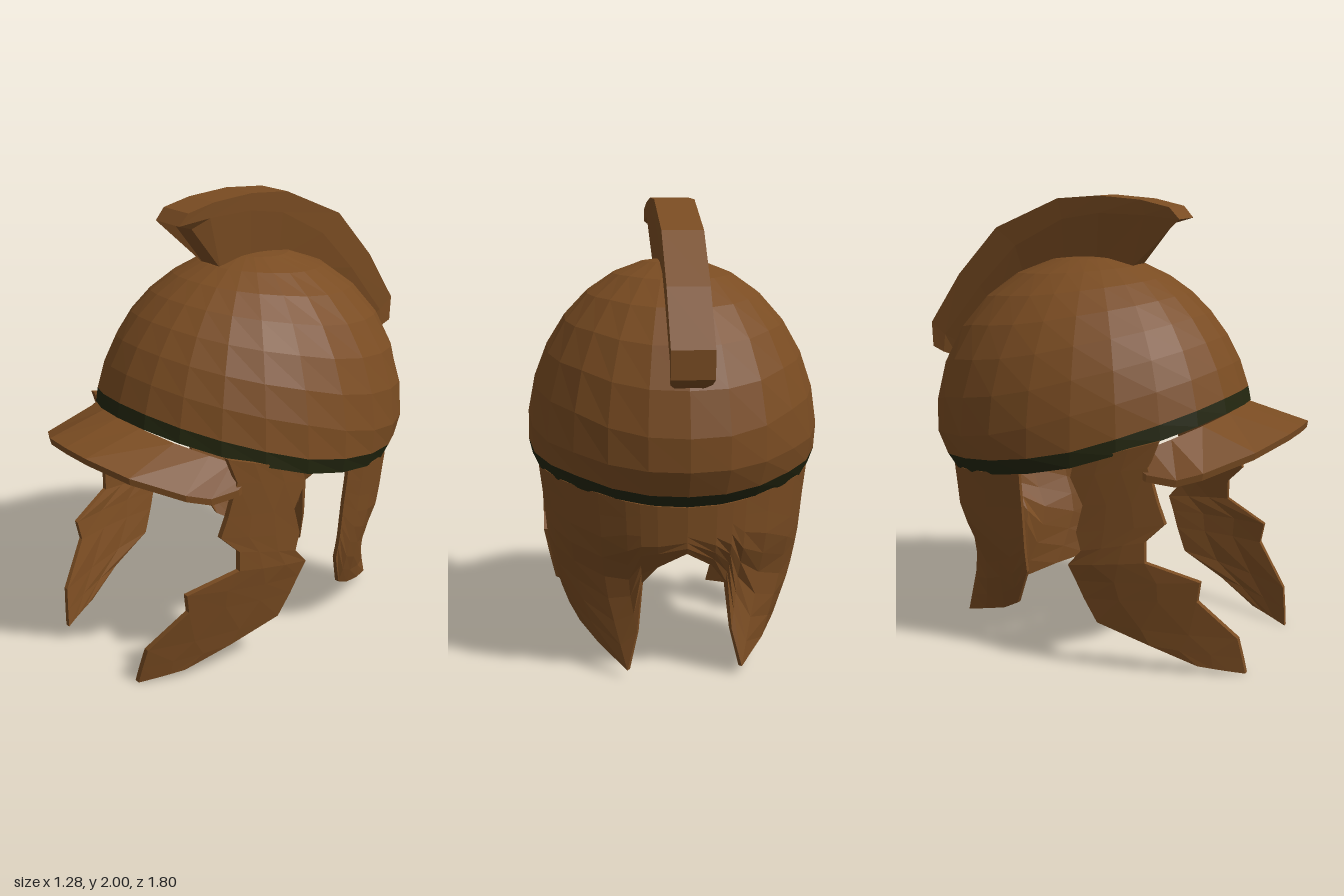
import * as THREE from 'three';

const bronze = new THREE.MeshStandardMaterial({ color: 0x7a4c22, side: THREE.DoubleSide });
bronze.name = 'bronze';
const darkGreen = new THREE.MeshStandardMaterial({ color: 0x23260f, side: THREE.DoubleSide });
darkGreen.name = 'dark green';

// Piecewise linear lookup in a table of [key, value] with rising keys
function lookup(table, k) {
  if (k <= table[0][0]) return table[0][1];
  for (let i = 1; i < table.length; i++) {
    const [k0, v0] = table[i - 1], [k1, v1] = table[i];
    if (k <= k1) return v0 + (v1 - v0) * (k - k0) / (k1 - k0);
  }
  return table[table.length - 1][1];
}

// Faceted surface through closed loops of points; solid ones get end caps
function loft(name, loops, material, { solid = true, flip = false } = {}) {
  const pos = [], n = loops[0].length;
  const tri = (a, b, c) => pos.push(...a, ...(flip ? c : b), ...(flip ? b : c));
  const quad = (a, b, c, d) => { tri(a, b, c); tri(a, c, d); };
  for (let r = 0; r + 1 < loops.length; r++)
    for (let c = 0; c < n; c++) {
      const d = (c + 1) % n;
      quad(loops[r][c], loops[r + 1][c], loops[r + 1][d], loops[r][d]);
    }
  if (solid) {
    const A = loops[0], B = loops[loops.length - 1];
    for (let i = 0; i < n / 2 - 1; i++) {
      quad(A[i], A[i + 1], A[n - 2 - i], A[n - 1 - i]);
      quad(B[n - 1 - i], B[n - 2 - i], B[i + 1], B[i]);
    }
  }
  const geo = new THREE.BufferGeometry();
  geo.setAttribute('position', new THREE.Float32BufferAttribute(pos, 3));
  geo.computeVertexNormals();
  const mesh = new THREE.Mesh(geo, material);
  mesh.name = name;
  return mesh;
}

// Height of the bowl's lower edge, falling from front to back
const RIM = [[-0.76, 0.73], [-0.6, 0.79], [-0.18, 0.85], [0.13, 0.92], [0.5, 1.05], [0.65, 1.115]];
const rim = z => lookup(RIM, z);

// Point on the bowl: angle round from the front, and elevation
function bowlPoint(t, p) {
  const ry = p > 0 ? 0.76 : 0.45;
  return [0.642 * Math.cos(p) * Math.sin(t), 0.98 + ry * Math.sin(p), -0.09 + 0.742 * Math.cos(p) * Math.cos(t)];
}
// Elevation at which the bowl meets the rim, raised by lift
function rimElevation(t, lift) {
  let p = 0;
  for (let i = 0; i < 25; i++) {
    const y = rim(bowlPoint(t, p)[2]) + lift - 0.98;
    p = Math.asin(y / (y > 0 ? 0.76 : 0.45));
  }
  return p;
}

function bowlStrip(name, rows, material, from, to) {
  const n = 24, loops = [];
  for (let r = 0; r <= rows; r++) {
    const loop = [];
    for (let c = 0; c < n; c++) {
      const t = c / n * Math.PI * 2;
      loop.push(bowlPoint(t, THREE.MathUtils.lerp(from(t), to(t), r / rows)));
    }
    loops.push(loop);
  }
  return loft(name, loops, material, { solid: false });
}

// Neck guard: curved sheet with a notch at the centre of the back
function neckGuard() {
  const angles = [0, 12, 19, 25, 37, 55, 70, 80, 90];
  const bottoms = [0.55, 0.48, 0.4, 0.2, 0.04, 0.11, 0.165, 0.22, 0.4];
  const halfWidth = [[0.04, 0.4], [0.2, 0.47], [0.35, 0.53], [0.5, 0.56], [0.7, 0.58], [0.85, 0.6]];
  const depth = [[0.04, 0.61], [0.2, 0.52], [0.38, 0.465], [0.45, 0.49], [0.57, 0.57], [0.8, 0.59]];
  const cols = [];
  for (let i = 8; i > -9; i--) {
    const k = Math.abs(i);
    cols.push([Math.sign(i) * angles[k] * Math.PI / 180, bottoms[k]]);
  }
  const loops = [], rows = 8;
  for (let r = 0; r <= rows; r++) {
    const side = inset => cols.map(([a, low]) => {
      const top = rim(-0.15 - 0.59 * Math.cos(a)) + 0.01;
      const y = THREE.MathUtils.lerp(top, low, r / rows);
      return [(lookup(halfWidth, y) - inset) * Math.sin(a), y, -0.15 - (lookup(depth, y) - inset) * Math.cos(a)];
    });
    loops.push([...side(0), ...side(0.02).reverse()]);
  }
  return loft('neckGuard', loops, bronze);
}

// Cheek guard: scalloped plate, rows of [back z, back y, front z, front y]
function cheekGuard(name, s) {
  const rows = [
    [0.1, 0.93, 0.45, 1.04], [0.085, 0.865, 0.41, 0.93], [0.14, 0.75, 0.45, 0.78],
    [0.11, 0.63, 0.48, 0.69], [0.13, 0.55, 0.4, 0.61], [0.07, 0.48, 0.4, 0.52],
    [0.1, 0.41, 0.615, 0.44], [0.13, 0.33, 0.6, 0.35], [0.18, 0.22, 0.75, 0.175],
    [0.4, 0.13, 0.765, 0.08], [0.59, 0.04, 0.775, 0.005]];
  const loops = rows.map(([zb, yb, zf, yf]) => {
    const side = inset => [0, 0.33, 0.67, 1].map(k => {
      const z = THREE.MathUtils.lerp(zf, zb, k), y = THREE.MathUtils.lerp(yf, yb, k);
      return [s * (0.585 - 0.33 * z * z - 0.17 * Math.max(0, 0.5 - y) - inset), y, z];
    });
    return [...side(0), ...side(0.025).reverse()];
  });
  return loft(name, loops, bronze, { flip: s < 0 });
}

// Visor: sloping brow plate, stations of inner and outer edge points
function visor() {
  const half = [
    [[0, 1.11, 0.635], [0, 1.04, 0.9]],
    [[0.14, 1.1, 0.62], [0.14, 1.035, 0.89]],
    [[0.3, 1.07, 0.56], [0.32, 0.985, 0.8]],
    [[0.42, 1.03, 0.47], [0.47, 0.915, 0.63]],
    [[0.48, 1.0, 0.4], [0.51, 0.885, 0.53]],
    [[0.53, 0.965, 0.3], [0.535, 0.9, 0.41]]];
  const stations = [];
  for (let i = 5; i > -6; i--)
    stations.push(half[Math.abs(i)].map(([x, y, z]) => [i > 0 ? -x : x, y, z]));
  const lower = ([x, y, z]) => [x, y - 0.03, z - 0.005];
  return loft('visor', stations.map(([a, b]) => [a, lower(a), lower(b), b]), bronze);
}

// Crest: arched fin, stations of [z, y] for top, shoulder and foot
function crest() {
  const stations = [
    [[0.315, 1.955], [0.36, 1.905], [0.28, 1.88]],
    [[0.18, 1.985], [0.2, 1.92], [0.13, 1.69]],
    [[-0.02, 2], [-0.02, 1.925], [-0.04, 1.7]],
    [[-0.22, 1.985], [-0.2, 1.895], [-0.2, 1.69]],
    [[-0.535, 1.85], [-0.44, 1.77], [-0.4, 1.61]],
    [[-0.74, 1.63], [-0.63, 1.58], [-0.57, 1.48]],
    [[-0.9, 1.395], [-0.83, 1.34], [-0.74, 1.29]],
    [[-0.895, 1.28], [-0.84, 1.255], [-0.78, 1.235]]];
  const widths = [0.087, 0.083, 0.06];
  return loft('crest', stations.map(st => [
    ...st.map(([z, y], i) => [-widths[i], y, z]),
    ...st.map(([z, y], i) => [widths[i], y, z]).reverse()]), bronze);
}

export function createModel() {
  const helmet = new THREE.Group();
  helmet.name = 'helmet';
  const bandTop = t => rimElevation(t, 0.068), bandBottom = t => rimElevation(t, 0);
  helmet.add(
    bowlStrip('bowl', 8, bronze, () => Math.PI / 2 - 0.001, bandTop),
    bowlStrip('rimBand', 1, darkGreen, bandTop, bandBottom),
    neckGuard(),
    visor(),
    cheekGuard('leftCheekGuard', 1),
    cheekGuard('rightCheekGuard', -1),
    crest());
  return helmet;
}
